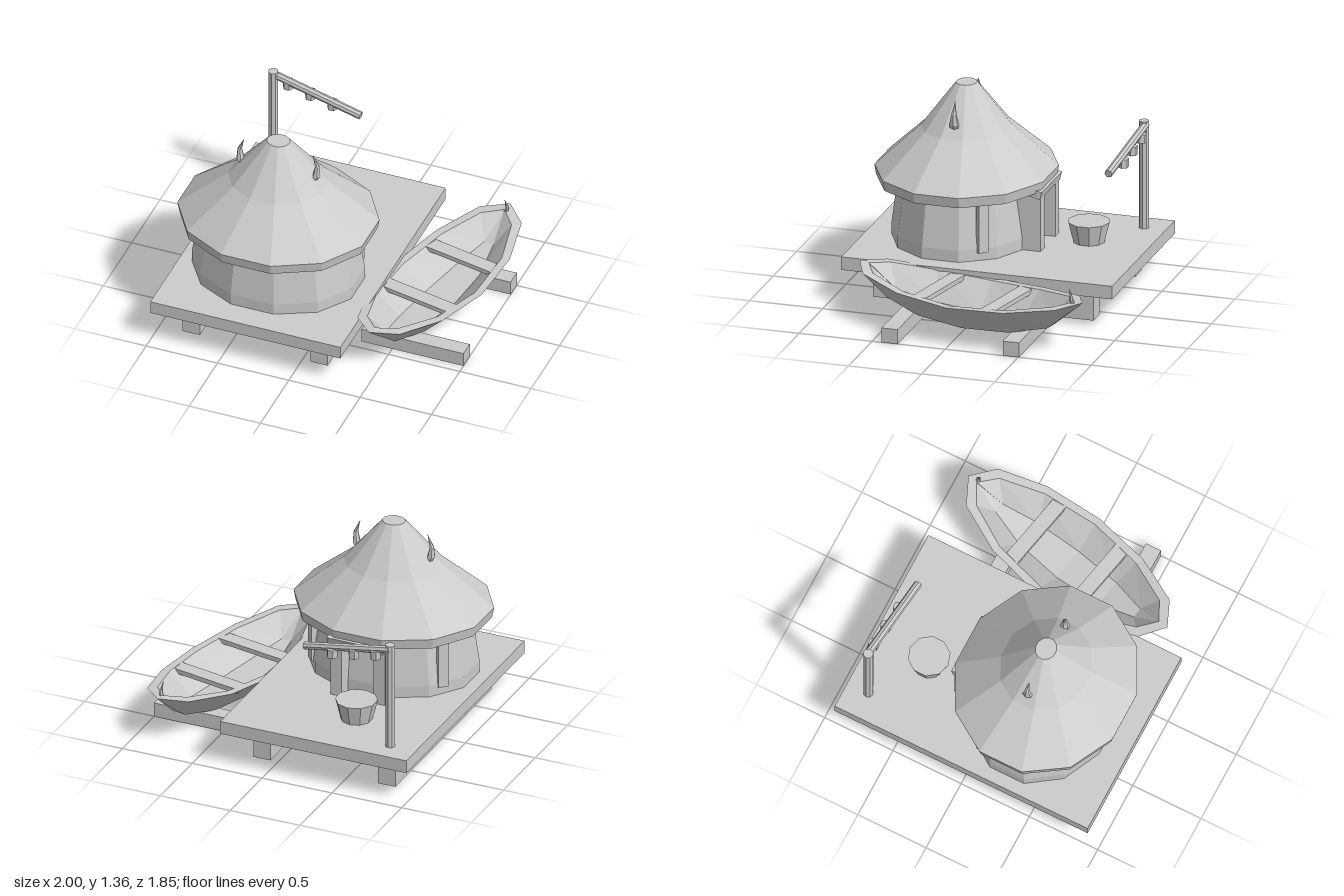
import * as THREE from 'three';

const grey = new THREE.MeshStandardMaterial({ color: 0xcccccc });
grey.name = 'plain grey';

// Faceted mesh: unshared corners give every face its own normal
function part(name, geometry, parent) {
  const geo = geometry.index ? geometry.toNonIndexed() : geometry;
  geo.computeVertexNormals();
  const mesh = new THREE.Mesh(geo, grey);
  mesh.name = name;
  parent.add(mesh);
  return mesh;
}

// Box given by its lower and upper corners
function box(name, [x0, y0, z0], [x1, y1, z1], parent) {
  const geo = new THREE.BoxGeometry(x1 - x0, y1 - y0, z1 - z0);
  geo.translate((x0 + x1) / 2, (y0 + y1) / 2, (z0 + z1) / 2);
  return part(name, geo, parent);
}

// Twelve-sided oval turned shape with flat sides facing front and back
function oval(name, profile, depth, parent) {
  const geo = new THREE.LatheGeometry(profile.map(p => new THREE.Vector2(...p)), 12);
  geo.rotateY(Math.PI / 12).scale(1, 1, depth);
  return part(name, geo, parent);
}

// Skin over rings of points that run counterclockwise around the path
function loft(rings) {
  const n = rings[0].length, index = [];
  for (let r = 0; r < rings.length - 1; r++) {
    for (let i = 0; i < n; i++) {
      const a = r * n + i, b = r * n + (i + 1) % n;
      index.push(a, b, b + n, a, b + n, a + n);
    }
  }
  const geo = new THREE.BufferGeometry();
  geo.setAttribute('position', new THREE.Float32BufferAttribute(rings.flat(2), 3));
  geo.setIndex(index);
  return geo;
}

// Curved spike: stations of x, y, z and radius
function horn(name, stations, parent) {
  const rings = stations.map(([x, y, z, r]) => Array.from({ length: 6 }, (_, i) => {
    const a = i * Math.PI / 3;
    return [x + r * 0.8 * Math.cos(a), y, z - r * Math.sin(a)];
  }));
  return part(name, loft(rings), parent);
}

// Round bar between two points
function bar(name, from, to, radius, parent) {
  const a = new THREE.Vector3(...from), b = new THREE.Vector3(...to);
  const mesh = part(name, new THREE.CylinderGeometry(radius, radius, a.distanceTo(b), 8), parent);
  mesh.position.copy(a).lerp(b, 0.5);
  mesh.quaternion.setFromUnitVectors(new THREE.Vector3(0, 1, 0), b.sub(a).normalize());
  return mesh;
}

function buildDeck(model) {
  const deck = new THREE.Group();
  deck.name = 'deck';
  box('platform', [-1, 0.22, -0.927], [0.333, 0.31, 0.927], deck);
  for (const x of [-0.84, 0.055]) box('deckBeam', [x, 0, -0.75], [x + 0.122, 0.22, 0.76], deck);
  for (const z of [-0.505, 0.325]) box('boatSupport', [0.285, 0, z], [1, 0.1, z + 0.11], deck);
  model.add(deck);
}

function buildHut(model) {
  const hut = new THREE.Group();
  hut.name = 'hut';
  hut.position.set(-0.355, 0, 0.29);
  oval('wall', [[0.577, 0.31], [0.577, 0.39], [0.525, 0.73]], 0.835, hut);
  oval('roof', [[0, 0.715], [0.657, 0.715], [0.67, 0.785], [0.335, 1.06], [0.078, 1.36], [0, 1.36]], 0.89, hut);

  // Back doorway
  for (const x of [-0.195, 0.115]) box('doorJamb', [x, 0.31, -0.57], [x + 0.08, 0.69, -0.36], hut);
  const lintel = part('doorLintel', new THREE.BoxGeometry(0.43, 0.055, 0.2), hut);
  lintel.position.set(0, 0.725, -0.48);
  lintel.rotation.x = -0.25;

  for (const side of [-1, 1]) {
    // Upright post on the rear side of the wall
    const post = part('wallPost', new THREE.BoxGeometry(0.04, 0.36, 0.07), hut);
    post.position.set(side * 0.465, 0.545, -0.257);
    post.rotation.y = side * 0.8;
    // Roof horn bending outwards and back in
    horn('roofHorn', [
      [side * 0.235, 1.10, 0, 0.036],
      [side * 0.267, 1.15, 0, 0.033],
      [side * 0.272, 1.22, 0, 0.019],
      [side * 0.24, 1.31, 0, 0],
    ], hut);
  }
  model.add(hut);
}

function buildYard(model) {
  const tub = part('tub', new THREE.CylinderGeometry(0.14, 0.105, 0.14, 10), model);
  tub.position.set(-0.455, 0.38, -0.515);

  // Leaning arm on a pole with hanging pieces
  const rack = new THREE.Group();
  rack.name = 'hangingRack';
  bar('pole', [-0.815, 0.31, -0.775], [-0.815, 1.05, -0.775], 0.034, rack);
  bar('arm', [-0.82, 1.02, -0.785], [-0.185, 0.89, -0.735], 0.027, rack);
  for (let i = 0; i < 3; i++) {
    const hanger = part('hanger', new THREE.CylinderGeometry(0.038, 0.036, 0.06, 6), rack);
    hanger.position.set(-0.715 + i * 0.159, 0.965 - i * 0.033, -0.787 + i * 0.009);
    hanger.rotation.y = Math.PI / 6;
  }
  model.add(rack);
}

function buildBoat(model) {
  const boat = new THREE.Group();
  boat.name = 'boat';
  boat.position.set(0.635, 0, -0.06);
  boat.rotation.y = -0.206;

  // Stations from middle to end: rim [along, half width, height],
  // keel [along, half width, height], inner rim and floor in the same form
  const half = [
    { rim: [0, 0.33, 0.27], keel: [0, 0.13, 0.07], inner: [0, 0.28, 0.27], floor: [0, 0.115, 0.105] },
    { rim: [0.4, 0.285, 0.29], keel: [0.34, 0.105, 0.09], inner: [0.38, 0.235, 0.29], floor: [0.33, 0.095, 0.125] },
    { rim: [0.72, 0.165, 0.33], keel: [0.6, 0.05, 0.15], inner: [0.67, 0.12, 0.33], floor: [0.58, 0.035, 0.185] },
    { rim: [0.835, 0, 0.35], keel: [0.82, 0, 0.335], inner: [0.765, 0, 0.345], floor: [0.76, 0, 0.335] },
  ];
  const ring = ({ rim, keel, inner, floor }, end) => {
    const at = ([s, w, y], side) => [side * w, y, end * s];
    return [
      at(rim, -1), at(keel, -1), at(keel, 1), at(rim, 1),
      at(inner, 1), at(floor, 1), at(floor, -1), at(inner, -1),
    ];
  };
  const rings = [
    ...half.slice(1).reverse().map(s => ring(s, -1)),
    ...half.map(s => ring(s, 1)),
  ];
  part('hull', loft(rings), boat);

  // Seats across the boat, just below the rim
  for (const z of [-0.27, 0.243]) box('seat', [-0.262, 0.25, z - 0.05], [0.262, 0.282, z + 0.05], boat);
  // Small spike at the bow
  horn('bowSpike', [[0.01, 0.31, -0.77, 0.018], [0.022, 0.37, -0.765, 0.014], [0.015, 0.445, -0.745, 0]], boat);
  model.add(boat);
}

export function createModel() {
  const model = new THREE.Group();
  model.name = 'hutWithBoat';
  buildDeck(model);
  buildHut(model);
  buildYard(model);
  buildBoat(model);
  return model;
}
